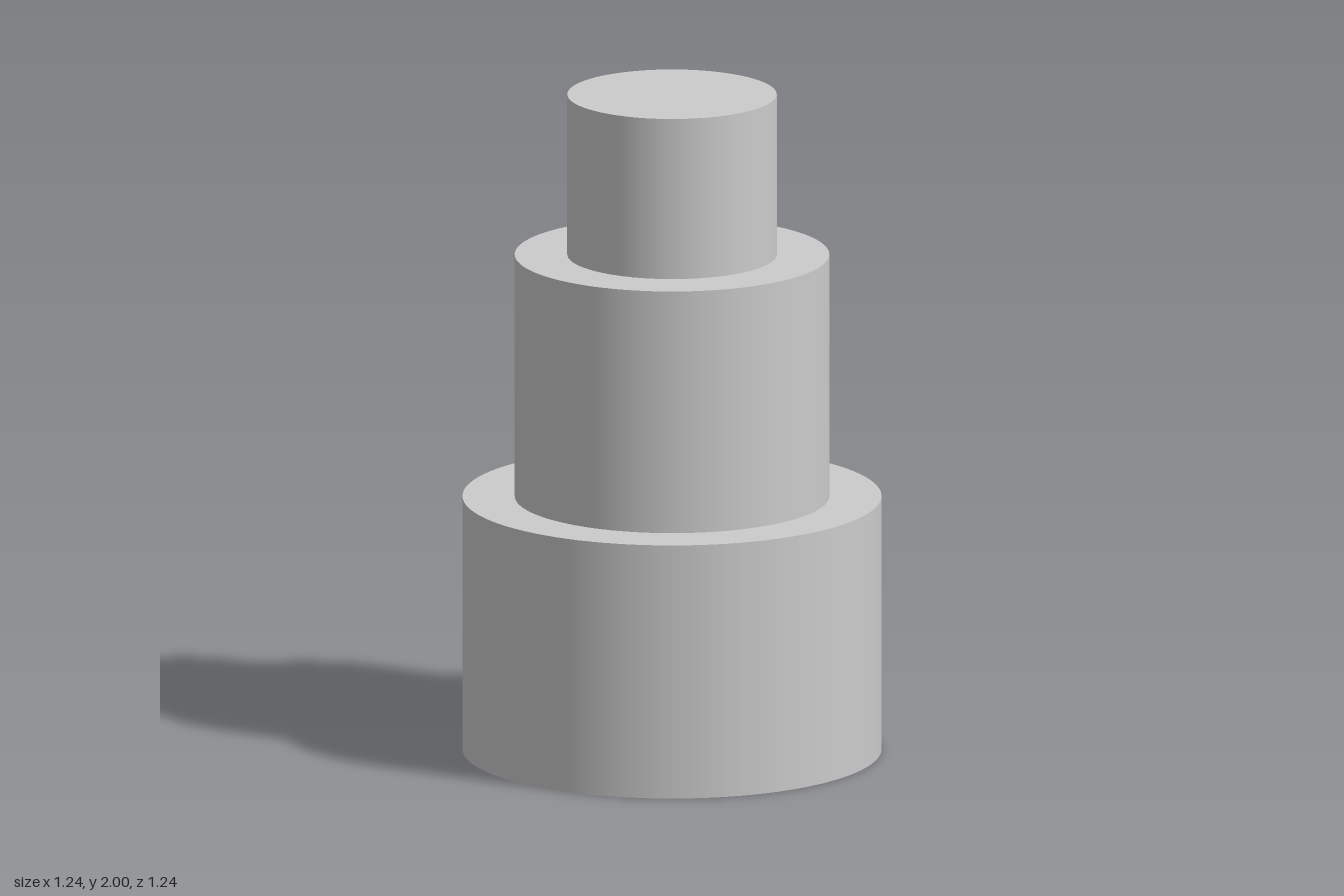
import * as THREE from 'three';

export function createModel() {
  const model = new THREE.Group();
  model.name = 'steppedTower';
  const material = new THREE.MeshStandardMaterial({ color: 0xcccccc });

  // Three round tiers stacked on a common axis: name, radius, bottom, top
  const tiers = [
    ['lowerTier', 0.622, 0, 0.773],
    ['middleTier', 0.467, 0.773, 1.511],
    ['upperTier', 0.311, 1.511, 2],
  ];
  for (const [name, radius, bottom, top] of tiers) {
    const tier = new THREE.Mesh(new THREE.CylinderGeometry(radius, radius, top - bottom, 96), material);
    tier.name = name;
    tier.position.y = (bottom + top) / 2;
    model.add(tier);
  }
  return model;
}
